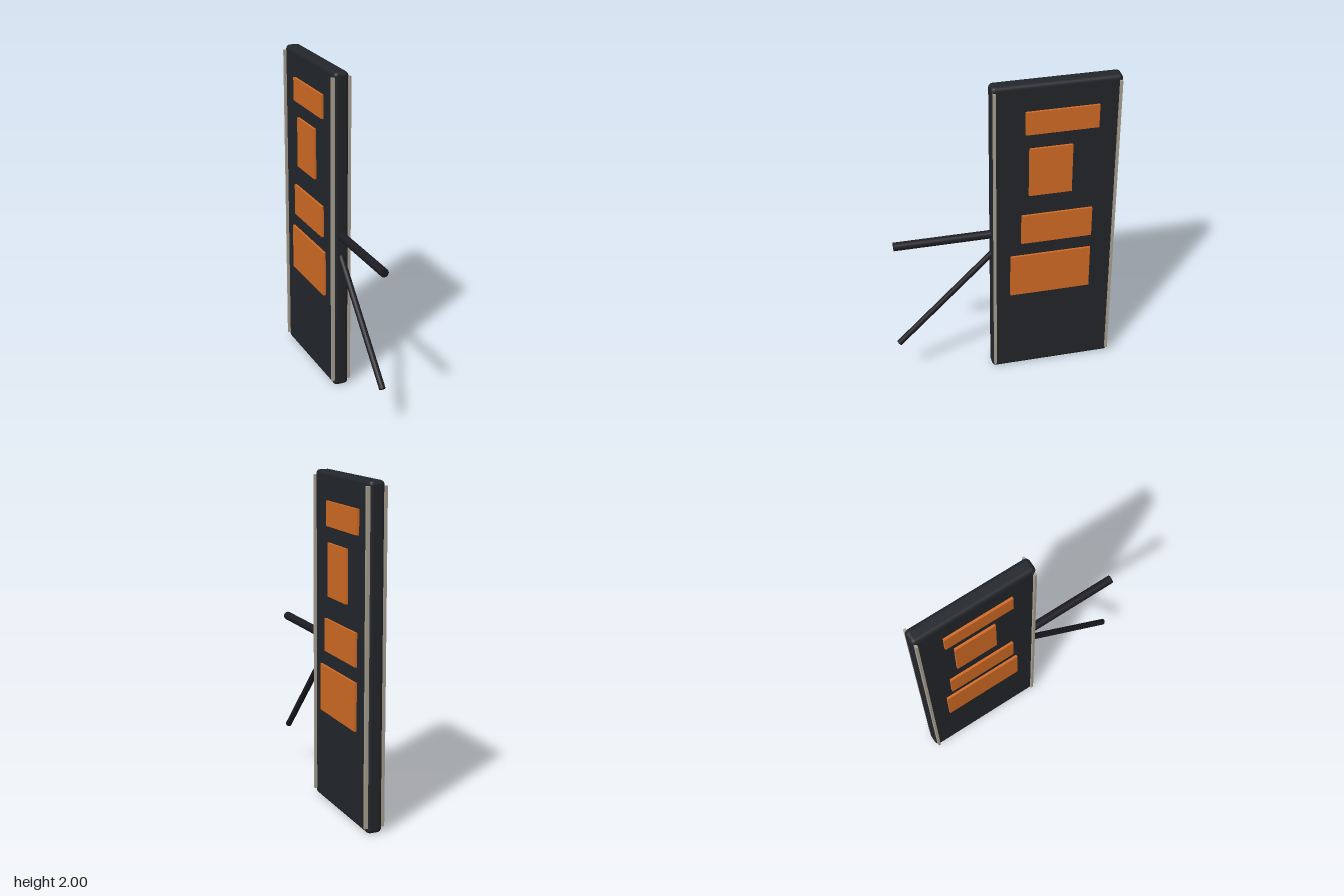
import * as THREE from 'three';
import { RoundedBoxGeometry } from 'three/addons/geometries/RoundedBoxGeometry.js';

export function createModel() {
  const group = new THREE.Group();
  const mat = (color) => new THREE.MeshStandardMaterial({ color });
  const dark = mat(0x22252a);
  const metal = mat(0x1c1c22);
  const orange = mat(0xd06a24);
  const trim = mat(0xa8a090);

  const add = (name, geometry, material, x, y, z) => {
    const mesh = new THREE.Mesh(geometry, material);
    mesh.name = name;
    mesh.position.set(x, y, z);
    group.add(mesh);
    return mesh;
  };

  // Round bar between two points in the x = 0 plane, given as [y, z]
  const bar = (name, radius, [y0, z0], [y1, z1]) => {
    const from = new THREE.Vector3(0, y0, z0);
    const dir = new THREE.Vector3(0, y1, z1).sub(from);
    const geometry = new THREE.CylinderGeometry(radius, radius, dir.length(), 16);
    const mesh = add(name, geometry, metal, 0, (y0 + y1) / 2, (z0 + z1) / 2);
    mesh.quaternion.setFromUnitVectors(new THREE.Vector3(0, 1, 0), dir.normalize());
  };

  // Upright sign board with softened edges
  add('signBoard', new RoundedBoxGeometry(0.094, 2, 0.765, 3, 0.025), dark, 0, 1, -0.298);

  // Wall bracket: horizontal arm and diagonal brace
  bar('bracketArm', 0.026, [1.003, 0.04], [1.003, 0.67]);
  bar('bracketBrace', 0.019, [0.89, 0.05], [0.272, 0.667]);

  // Raised panels on each face: bottom, top, then z range per side
  const panels = [
    { y: [1.69, 1.835], left: [-0.545, -0.113], right: [-0.51, -0.073] },
    { y: [1.28, 1.595], left: [-0.395, -0.137], right: [-0.455, -0.19] },
    { y: [0.945, 1.142], left: [-0.527, -0.094], right: [-0.51, -0.078] },
    { y: [0.568, 0.853], left: [-0.525, -0.028], right: [-0.55, -0.05] },
  ];
  for (const [side, sign] of [['left', 1], ['right', -1]]) {
    for (const panel of panels) {
      const [y0, y1] = panel.y;
      const [z0, z1] = panel[side];
      add(`${side}Panel`, new THREE.BoxGeometry(0.022, y1 - y0, z1 - z0), orange,
        sign * 0.051, (y0 + y1) / 2, (z0 + z1) / 2);
    }
    // Thin vertical trim strips along both edges
    for (const z of [0.068, -0.665]) {
      add(`${side}TrimStrip`, new THREE.BoxGeometry(0.022, 1.935, 0.015), trim,
        sign * 0.051, 1.002, z);
    }
  }
  return group;
}
